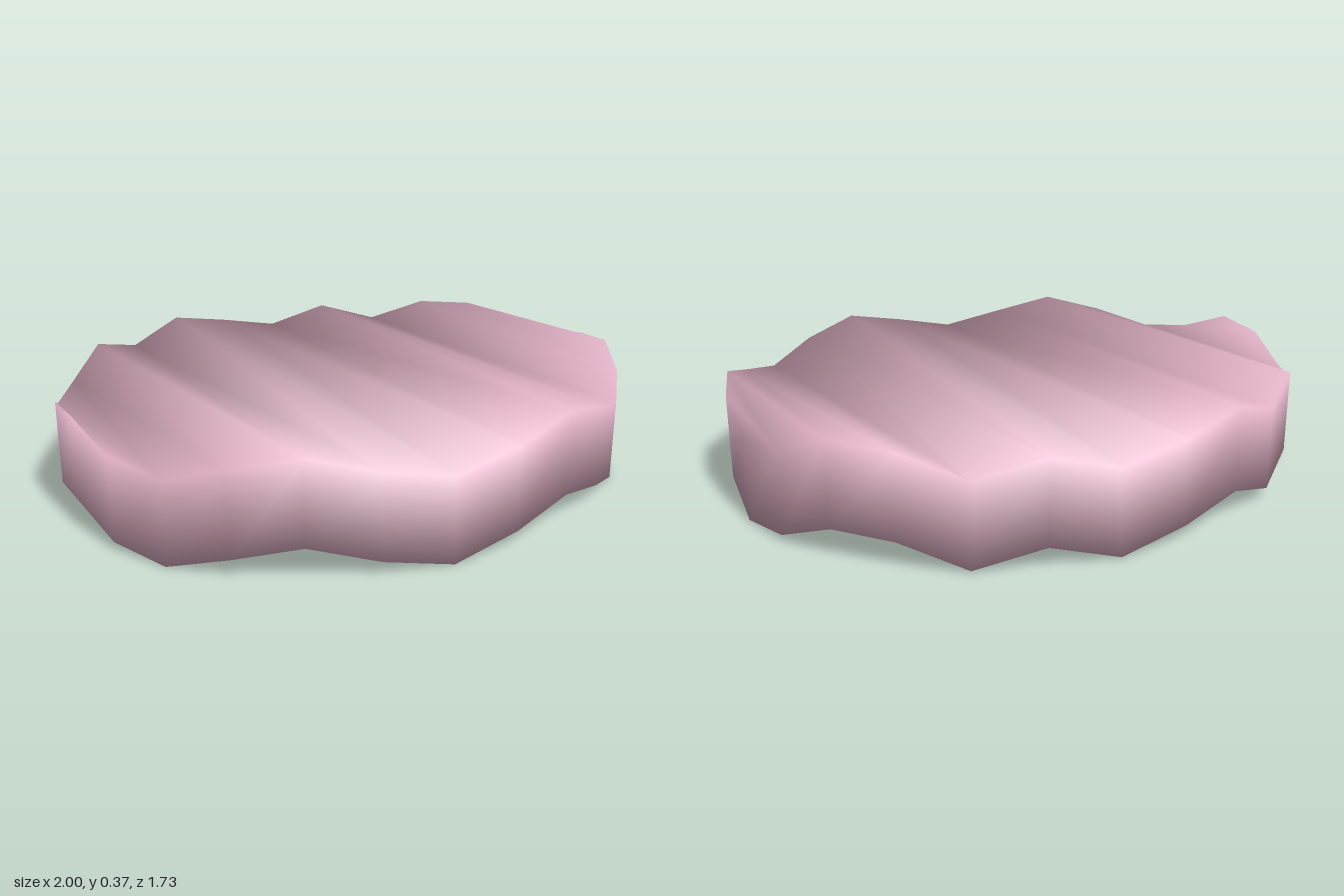
import * as THREE from 'three';

const SIDES = 28, HALF = SIDES / 2, DEPTH = 0.866;
const BASE = 0.052, THICK = 0.27, RIPPLE = 0.05;

// Ripple of the rim from the front centre round to the back centre; the other half is its negative
const ripple = [0, 1, 0.1, -1, -0.1, 1, 0.5, -0.96, -0.6, 0.8, 0.63, -0.9, 0.3, -0.95, 0];
const wrap = (k) => ((k % SIDES) + SIDES) % SIDES;
const wave = (k) => RIPPLE * (k <= HALF ? ripple[k] : -ripple[SIDES - k]);

// Smooth normals, each face weighted by its corner angle
function smoothNormals(points, index) {
  const normals = points.map(() => new THREE.Vector3());
  for (let i = 0; i < index.length; i += 3) {
    const tri = index.slice(i, i + 3);
    const [a, b, c] = tri.map((n) => points[n]);
    const face = b.clone().sub(a).cross(c.clone().sub(a)).normalize();
    tri.forEach((n, j) => {
      const u = points[tri[(j + 1) % 3]].clone().sub(points[n]);
      const v = points[tri[(j + 2) % 3]].clone().sub(points[n]);
      normals[n].addScaledVector(face, u.angleTo(v));
    });
  }
  return normals.map((n) => n.normalize());
}

function wavySlice() {
  const points = [], index = [];
  // Lower rim at even indices, upper rim at odd ones
  for (let k = 0; k < SIDES; k++) {
    const a = (k / SIDES) * Math.PI * 2;
    for (const y of [BASE, BASE + THICK]) {
      points.push(new THREE.Vector3(Math.sin(a), y + wave(k), DEPTH * Math.cos(a)));
    }
  }
  const low = (k) => 2 * wrap(k), high = (k) => 2 * wrap(k) + 1;
  const add = (a, b, c) => {
    if (a !== b && b !== c && a !== c) index.push(a, b, c);
  };
  // Outer wall
  for (let k = 0; k < SIDES; k++) {
    add(low(k), low(k + 1), high(k + 1));
    add(low(k), high(k + 1), high(k));
  }
  // Top and bottom, in strips running from the front rim to the back rim
  for (let j = -HALF / 2; j < HALF / 2; j++) {
    const back = HALF - j;
    add(high(j), high(j + 1), high(back - 1));
    add(high(j), high(back - 1), high(back));
    add(low(j), low(back - 1), low(j + 1));
    add(low(j), low(back), low(back - 1));
  }
  const flat = (list) => new THREE.Float32BufferAttribute(list.flatMap((v) => v.toArray()), 3);
  const geometry = new THREE.BufferGeometry();
  geometry.setAttribute('position', flat(points));
  geometry.setAttribute('normal', flat(smoothNormals(points, index)));
  geometry.setIndex(index);
  return geometry;
}

export function createModel() {
  const model = new THREE.Group();
  model.name = 'wavySlice';
  const pink = new THREE.MeshStandardMaterial({ color: 0xe3b4c8 });
  pink.name = 'pink';
  const slice = new THREE.Mesh(wavySlice(), pink);
  slice.name = 'slice';
  model.add(slice);
  return model;
}
